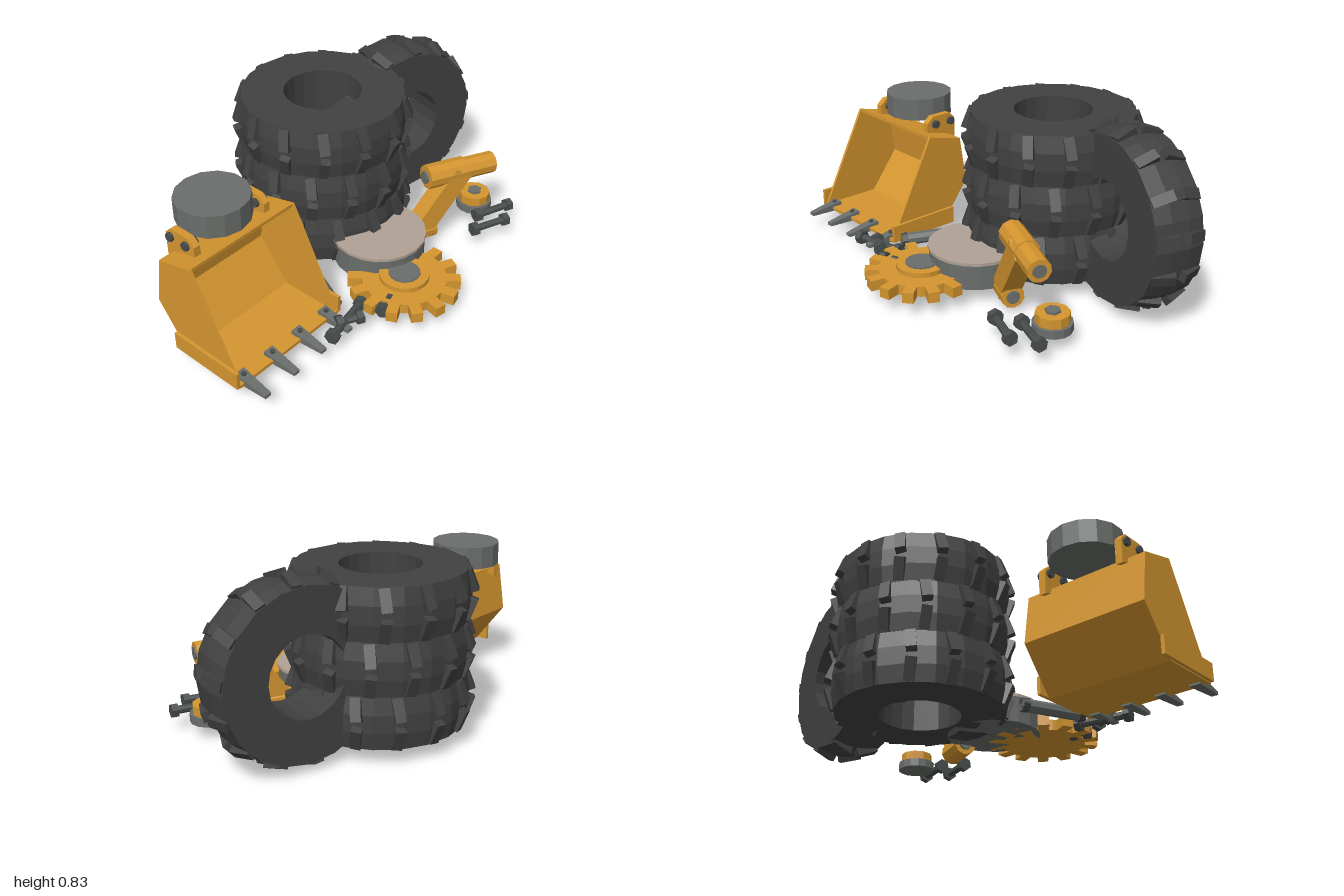
import * as THREE from 'three';

const mat = (name, color) => Object.assign(new THREE.MeshStandardMaterial({ color }), { name });

// Facet a geometry so that every side reads as a flat plane
function flat(geo) {
  const g = geo.index ? geo.toNonIndexed() : geo;
  g.computeVertexNormals();
  return g;
}

export function createModel() {
  const root = new THREE.Group();
  const rubber = mat('tyre rubber', 0x414141);
  const orange = mat('machine orange', 0xd4952f);
  const steel = mat('steel grey', 0x6a6e6b);
  const dark = mat('dark steel', 0x484c4c);
  const tan = mat('tan plate', 0xb0a195);

  const add = (parent, name, geo, material, x = 0, y = 0, z = 0) => {
    const m = new THREE.Mesh(flat(geo), material);
    m.name = name;
    m.position.set(x, y, z);
    parent.add(m);
    return m;
  };
  const group = (name, x = 0, y = 0, z = 0) => {
    const g = new THREE.Group();
    g.name = name;
    g.position.set(x, y, z);
    root.add(g);
    return g;
  };
  // Upright cylinder from y0 to y1
  const drum = (parent, name, r, y0, y1, sides, material, x = 0, z = 0) =>
    add(parent, name, new THREE.CylinderGeometry(r, r, y1 - y0, sides), material, x, (y0 + y1) / 2, z);
  // Cylinder between two points
  const rod = (parent, name, a, b, r, sides, material) => {
    const p = new THREE.Vector3(...a), d = new THREE.Vector3(...b).sub(p);
    const m = add(parent, name, new THREE.CylinderGeometry(r, r, d.length(), sides), material);
    m.position.copy(p).addScaledVector(d, 0.5);
    m.quaternion.setFromUnitVectors(new THREE.Vector3(0, 1, 0), d.normalize());
  };
  // Extrude a z-y profile across x, centred at x
  const profileX = (parent, name, pts, width, x, material) => {
    const g = new THREE.ExtrudeGeometry(new THREE.Shape(pts.map(p => new THREE.Vector2(...p))),
      { depth: width, bevelEnabled: false });
    g.rotateY(-Math.PI / 2).translate(width / 2, 0, 0);
    add(parent, name, g, material, x);
  };

  // Tyres: barrel ring with two tilted rows of lugs
  const ringProfile = [[0.178, 0.114], [0.178, -0.114], [0.372, -0.114], [0.386, -0.04],
    [0.386, 0.04], [0.372, 0.114], [0.178, 0.114]].map(p => new THREE.Vector2(...p));
  function tyre(name, x, y, z, phase) {
    const g = group(name, x, y, z);
    add(g, 'tyreBody', new THREE.LatheGeometry(ringProfile, 20), rubber);
    const lugs = 14;
    for (let i = 0; i < lugs; i++) for (const s of [-1, 1]) {
      const lug = new THREE.BoxGeometry(0.036, 0.098, 0.045);
      lug.rotateX(s * 0.12).rotateZ(s * 0.36).translate(0.38, s * 0.062, 0);
      lug.rotateY(phase + i * Math.PI * 2 / lugs);
      add(g, 'treadLug', lug, rubber);
    }
    return g;
  }
  for (let i = 0; i < 3; i++) tyre('stackedTyre', 0.107, 0.184 + i * 0.229, -0.24, i * 0.15);
  tyre('leaningTyre', 0.595, 0.414, -0.205, 0.12).rotation.set(Math.PI / 2, -0.262, 0, 'YXZ');

  // Digging bucket: bent shell, two cheeks, side cutters
  const bucket = group('bucket');
  const outer = [[0.06, 0.55], [-0.12, 0.505], [-0.155, 0.28], [0, 0.08], [0.3, 0.08]];
  const inner = [[0.3, 0.095], [0.008, 0.095], [-0.138, 0.284], [-0.107, 0.493], [0.06, 0.535]];
  profileX(bucket, 'bucketShell', [...outer, ...inner], 0.58, -0.695, orange);
  for (const s of [-1, 1]) {
    profileX(bucket, 'bucketCheek', outer, 0.014, -0.695 + s * 0.283, orange);
    add(bucket, 'sideCutter', new THREE.BoxGeometry(0.016, 0.08, 0.36), orange,
      -0.695 + s * 0.297, 0.125, 0.12);
    // Mounting bracket with pins
    const x = -0.7 + s * 0.19;
    profileX(bucket, 'mountBracket', [[-0.16, 0.47], [0.005, 0.53], [0.005, 0.58], [-0.03, 0.61],
      [-0.13, 0.61], [-0.16, 0.58]], 0.032, x, orange);
    for (const z of [-0.13, -0.04])
      rod(bucket, 'bracketPin', [x - 0.03, 0.572, z], [x + 0.032, 0.572, z], 0.02, 8, dark);
  }
  // Bucket teeth, tapered toward the tip
  for (let i = 0; i < 4; i++) {
    const t = new THREE.BoxGeometry(0.05, 0.042, 0.16), p = t.attributes.position;
    for (let k = 0; k < p.count; k++) if (p.getZ(k) > 0) {
      p.setX(k, p.getX(k) * 0.6);
      p.setY(k, p.getY(k) * 0.35 - 0.01);
    }
    const x = -0.94 + i * 0.162;
    add(bucket, 'bucketTooth', t, steel, x, 0.092, 0.33);
    drum(bucket, 'toothBolt', 0.011, 0.105, 0.118, 6, dark, x, 0.275);
  }
  drum(root, 'bucketDrum', 0.16, 0.575, 0.68, 14, steel, -0.7, -0.105);

  // Toothed gear with hub
  const gear = group('gear', -0.065, 0, 0.39);
  drum(gear, 'gearDisc', 0.19, 0.07, 0.118, 28, orange);
  for (let i = 0; i < 14; i++) {
    const tooth = new THREE.BoxGeometry(0.08, 0.048, 0.05).translate(0.21, 0, 0);
    add(gear, 'gearTooth', tooth.rotateY(i * Math.PI / 7), orange, 0, 0.094, 0);
  }
  drum(gear, 'gearCollar', 0.112, 0.11, 0.14, 20, orange);
  drum(gear, 'gearHub', 0.072, 0.12, 0.146, 14, steel);

  // Broad flat drum with a tan cap
  drum(root, 'flatDrum', 0.21, 0.07, 0.186, 20, steel, 0.037, 0.16);
  drum(root, 'flatDrumCap', 0.216, 0.186, 0.2, 20, tan, 0.037, 0.16);

  // Linkage arm: two bosses joined by a slanted beam
  const link = group('linkageArm');
  rod(link, 'upperBoss', [0.32, 0.365, 0.205], [0.5, 0.36, 0.285], 0.058, 10, orange);
  rod(link, 'upperSleeve', [0.48, 0.36, 0.278], [0.64, 0.355, 0.35], 0.052, 10, orange);
  rod(link, 'upperPin', [0.31, 0.365, 0.2], [0.645, 0.355, 0.353], 0.03, 10, steel);
  rod(link, 'lowerBoss', [0.215, 0.08, 0.165], [0.36, 0.08, 0.23], 0.052, 10, orange);
  rod(link, 'lowerPin', [0.205, 0.08, 0.16], [0.366, 0.08, 0.233], 0.03, 10, steel);
  const beam = add(link, 'beam', new THREE.BoxGeometry(0.1, 0.36, 0.09), orange, 0.375, 0.225, 0.24);
  beam.rotation.set(0, -0.42, -0.64, 'YXZ');

  // Small flanged hub
  const hub = group('flangedHub', 0.64, 0, 0.272);
  drum(hub, 'hubFlange', 0.086, 0.068, 0.105, 14, steel);
  drum(hub, 'hubBody', 0.074, 0.105, 0.148, 10, orange);
  drum(hub, 'hubNut', 0.034, 0.14, 0.158, 6, steel);

  // Loose bolts: shank with a hex head and nut
  function bolt(x0, z0, x1, z1, shank, material) {
    const g = group('looseBolt'), y = 0.092;
    const at = t => [x0 + (x1 - x0) * t, y, z0 + (z1 - z0) * t];
    const h = 0.03 / Math.hypot(x1 - x0, z1 - z0);
    rod(g, 'shank', at(0), at(1), shank, 8, material);
    rod(g, 'head', at(0), at(h), 0.034, 6, dark);
    rod(g, 'nut', at(1 - h), at(1), 0.032, 6, dark);
  }
  bolt(-0.385, 0.265, -0.265, -0.01, 0.029, steel);
  bolt(-0.55, 0.388, -0.29, 0.338, 0.018, dark);
  bolt(-0.47, 0.345, -0.36, 0.4, 0.018, dark);
  bolt(-0.29, 0.445, -0.2, 0.42, 0.018, dark);
  bolt(0.435, 0.405, 0.62, 0.48, 0.018, dark);
  bolt(0.535, 0.352, 0.73, 0.425, 0.018, dark);
  return root;
}
